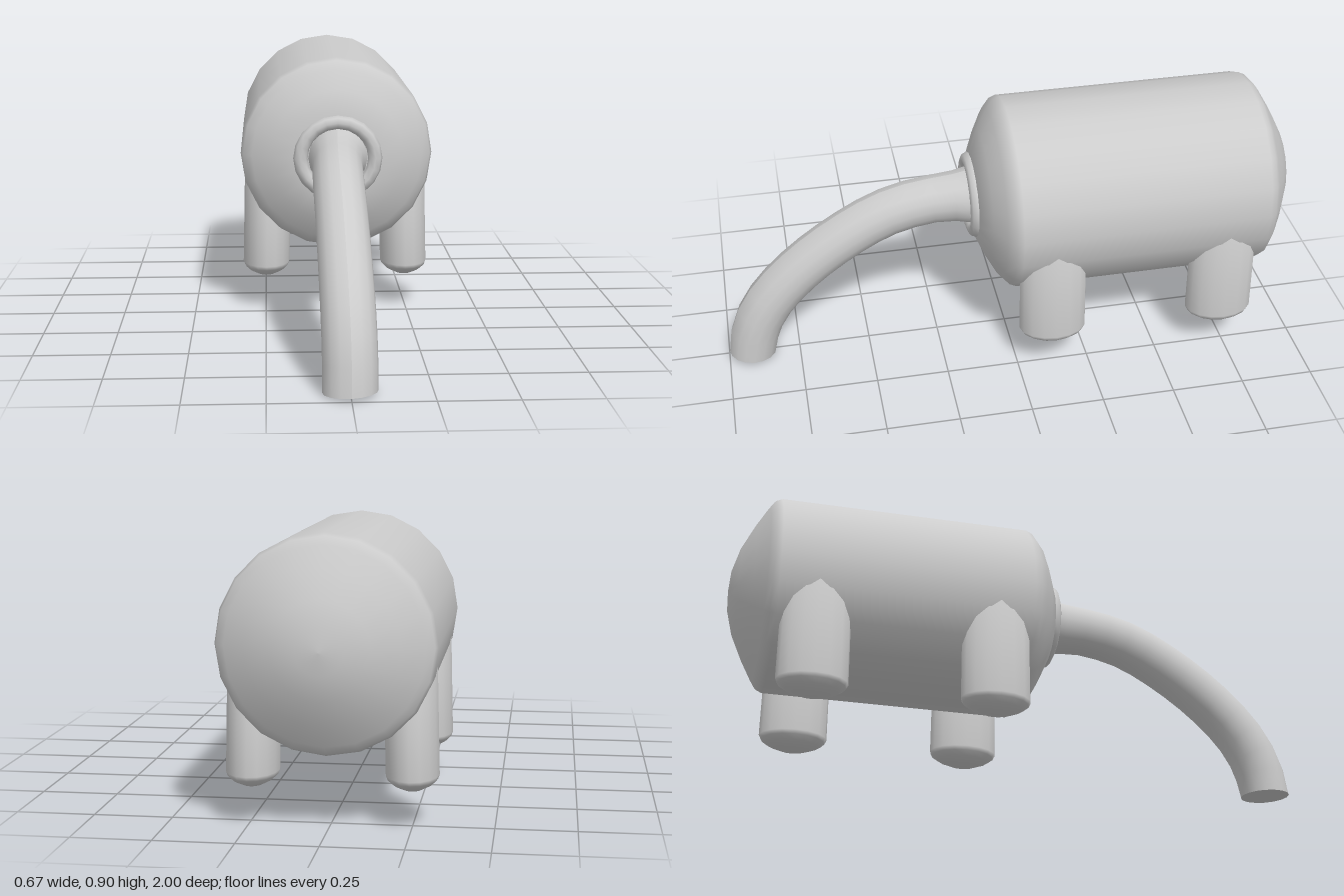
import * as THREE from 'three';

const material = new THREE.MeshStandardMaterial({ color: 0xcccccc });
const AXIS_Y = 0.572;

function addMesh(parent, name, geometry) {
  const mesh = new THREE.Mesh(geometry, material);
  mesh.name = name;
  parent.add(mesh);
  return mesh;
}

function lathe(points, sides) {
  return new THREE.LatheGeometry(points.map(([r, y]) => new THREE.Vector2(r, y)), sides);
}

// Barrel body, turned about the z axis, with domed ends
function addBody(parent) {
  const geometry = lathe([
    [0, -1], [0.07, -0.995], [0.15, -0.972], [0.235, -0.93], [0.3, -0.892], [0.325, -0.875],
    [0.334, -0.855], [0.334, -0.005], [0.325, 0.018], [0.295, 0.045], [0.23, 0.08], [0.15, 0.115], [0, 0.12],
  ], 20);
  geometry.rotateX(Math.PI / 2);
  addMesh(parent, 'body', geometry).position.y = AXIS_Y;
}

// Collar ring around the root of the snout
function addCollar(parent) {
  const collar = addMesh(parent, 'collar', new THREE.TorusGeometry(0.128, 0.025, 8, 20));
  collar.position.set(0, AXIS_Y, 0.115);
  collar.scale.set(1, 0.96, 1);
}

// Long drooping snout: a flared tube cut off almost level at the tip
function addSnout(parent) {
  const steps = 14, sides = 16, radius = 0.084;
  const curve = new THREE.CatmullRomCurve3([
    [0, 0.573, 0.1], [-0.007, 0.567, 0.25], [-0.01, 0.535, 0.4], [-0.008, 0.462, 0.55], [-0.005, 0.345, 0.715],
    [-0.002, 0.225, 0.832], [0, 0.115, 0.893], [0, 0.008, 0.916],
  ].map((p) => new THREE.Vector3(...p)));
  const tube = new THREE.TubeGeometry(curve, steps, radius, sides);
  const tipY = (x, z) => 0.008 + 0.05 * x + 0.05 * (z - 0.916);
  const pos = tube.attributes.position;
  const point = new THREE.Vector3();
  for (let i = 0; i < pos.count; i++) {
    const ring = Math.floor(i / (sides + 1));
    point.fromBufferAttribute(pos, i);
    const centre = curve.getPointAt(ring / steps);
    const flare = ring === 0 ? 1.25 : ring === 1 ? 1.06 : 1;
    point.sub(centre).multiplyScalar(flare).add(centre);
    if (ring === steps) point.y = tipY(point.x, point.z);
    pos.setXYZ(i, point.x, point.y, point.z);
  }
  tube.computeVertexNormals();
  addMesh(parent, 'snout', tube);

  const cap = new THREE.CircleGeometry(radius, sides);
  cap.rotateX(Math.PI / 2);
  cap.translate(0, 0, 0.916);
  const capPos = cap.attributes.position;
  for (let i = 0; i < capPos.count; i++) capPos.setY(i, tipY(capPos.getX(i), capPos.getZ(i)));
  cap.computeVertexNormals();
  addMesh(parent, 'snoutTip', cap);
}

// Stubby oval legs with rounded feet, leaning slightly inward at the top
function addLegs(parent) {
  for (const [end, z] of [['front', -0.123], ['back', -0.725]]) {
    for (const side of [1, -1]) {
      const geometry = lathe([
        [0, 0.11], [0.4, 0.115], [0.75, 0.131], [0.94, 0.146], [1, 0.16], [0.98, 0.5], [0, 0.5],
      ], 16);
      geometry.scale(0.083, 1, 0.117);
      const pos = geometry.attributes.position;
      for (let i = 0; i < pos.count; i++) {
        pos.setX(i, pos.getX(i) + side * (0.247 - 0.02 * (pos.getY(i) - 0.15)));
      }
      addMesh(parent, end + (side > 0 ? 'LeftLeg' : 'RightLeg'), geometry).position.z = z;
    }
  }
}

export function createModel() {
  const model = new THREE.Group();
  model.name = 'barrelAnimal';
  addBody(model);
  addCollar(model);
  addSnout(model);
  addLegs(model);
  return model;
}
